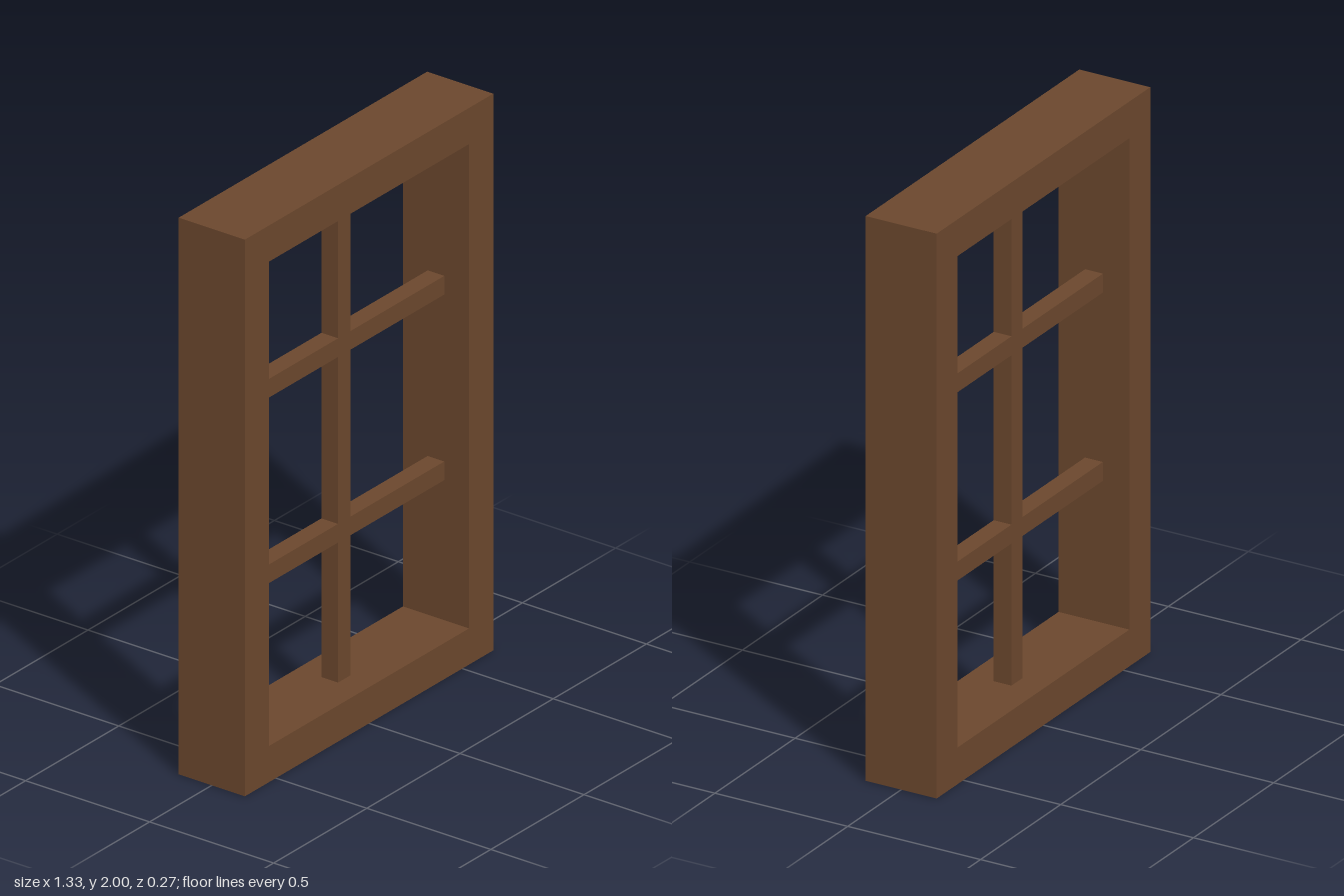
import * as THREE from 'three';

const WIDTH = 1.333, HEIGHT = 2, DEPTH = 0.267;
const BORDER = 0.13; // width of the outer frame
const BAR = 0.067; // thickness of the glazing bars

export function createModel() {
  const group = new THREE.Group();
  group.name = 'window';
  const wood = new THREE.MeshStandardMaterial({ color: 0x6b472d });
  wood.name = 'brown wood';

  const add = (name, geometry, x, y, z) => {
    const mesh = new THREE.Mesh(geometry, wood);
    mesh.name = name;
    mesh.position.set(x, y, z);
    group.add(mesh);
  };

  const rectangle = (path, w, h) => path
    .moveTo(-w / 2, -h / 2).lineTo(w / 2, -h / 2)
    .lineTo(w / 2, h / 2).lineTo(-w / 2, h / 2).closePath();

  const innerW = WIDTH - 2 * BORDER, innerH = HEIGHT - 2 * BORDER;

  // Outer frame with one rectangular opening
  const outline = new THREE.Shape();
  rectangle(outline, WIDTH, HEIGHT);
  const opening = new THREE.Path();
  rectangle(opening, innerW, innerH);
  outline.holes.push(opening);
  const frame = new THREE.ExtrudeGeometry(outline, { depth: DEPTH, bevelEnabled: false });
  add('frame', frame, 0, HEIGHT / 2, -DEPTH / 2);

  // Upright bar through the middle
  add('verticalBar', new THREE.BoxGeometry(BAR, innerH, BAR), 0, HEIGHT / 2, 0);

  // Crossbars at one and two thirds of the height, butted against the upright
  const length = (innerW - BAR) / 2;
  for (const [row, y] of [['lower', HEIGHT / 3], ['upper', HEIGHT * 2 / 3]]) {
    for (const [side, s] of [['Left', 1], ['Right', -1]]) {
      add(`${row}${side}Crossbar`, new THREE.BoxGeometry(length, BAR, BAR), s * (BAR + length) / 2, y, 0);
    }
  }

  return group;
}
